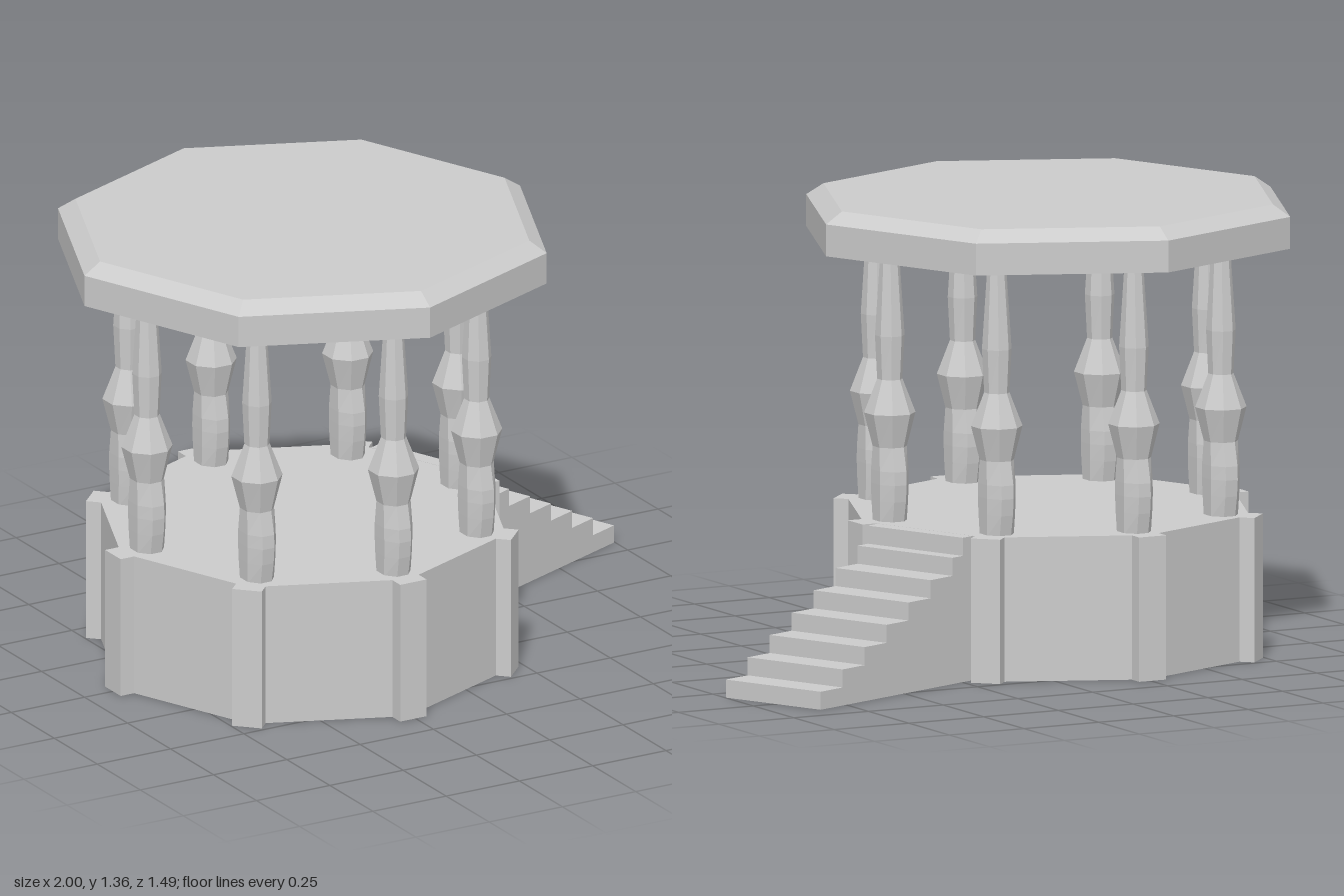
import * as THREE from 'three';

const CENTER_X = -0.257;   // axis of the pavilion
const FLOOR = 0.43;        // platform height
const EIGHTH = Math.PI / 4;

const solid = new THREE.MeshStandardMaterial({ color: 0xcccccc, flatShading: true });
const thin = new THREE.MeshStandardMaterial({ color: 0xcccccc, flatShading: true, side: THREE.DoubleSide });

function mesh(name, geometry, material = solid) {
  const m = new THREE.Mesh(geometry, material);
  m.name = name;
  return m;
}

// Band of quads between two rows of points
function band(rowA, rowB) {
  const pos = [];
  for (let i = 0; i < rowA.length - 1; i++) {
    for (const p of [rowA[i], rowA[i + 1], rowB[i + 1], rowA[i], rowB[i + 1], rowB[i]]) pos.push(...p);
  }
  const g = new THREE.BufferGeometry();
  g.setAttribute('position', new THREE.Float32BufferAttribute(pos, 3));
  g.computeVertexNormals();
  return g;
}

// Octagonal platform, open underneath, with a square pier at each corner
function createPlatform() {
  const group = new THREE.Group();
  group.name = 'platform';
  const outline = [];
  for (let i = 0; i < 8; i++) {
    for (const [r, t] of [[0.6, -0.045], [0.646, -0.045], [0.646, 0.045], [0.6, 0.045]]) {
      outline.push(new THREE.Vector2(r, t).rotateAround(new THREE.Vector2(), i * EIGHTH));
    }
  }
  const floor = new THREE.ShapeGeometry(new THREE.Shape(outline));
  floor.rotateX(-Math.PI / 2).translate(0, FLOOR, 0);
  const loop = [...outline, outline[0]];
  const walls = band(loop.map(p => [p.x, 0, -p.y]), loop.map(p => [p.x, FLOOR, -p.y]));
  group.add(mesh('floor', floor, thin), mesh('platformWalls', walls, thin));
  return group;
}

// Straight flight of seven steps and a narrow landing, open underneath
function createStairs() {
  const group = new THREE.Group();
  group.name = 'stairs';
  const half = 0.18, run = 0.1025, rise = FLOOR / 8, end = 1.283, wall = 0.573;
  const profile = [[end, 0]];
  for (let k = 0; k < 7; k++) {
    const y = (k + 1) * rise;
    const next = k < 6 ? end - (k + 1) * run : 0.62;
    profile.push([end - k * run, y], [next, y]);
  }
  profile.push([0.62, FLOOR], [wall, FLOOR]);
  const steps = band(profile.map(([x, y]) => [x, y, -half]), profile.map(([x, y]) => [x, y, half]));
  group.add(mesh('steps', steps, thin));

  const side = new THREE.Shape([...profile, [wall, 0]].map(([x, y]) => new THREE.Vector2(x, y)));
  for (const s of [-1, 1]) {
    const m = mesh(s > 0 ? 'stairSideFront' : 'stairSideBack', new THREE.ShapeGeometry(side), thin);
    m.position.z = s * half;
    group.add(m);
  }
  group.rotation.y = EIGHTH / 2;
  return group;
}

// Turned baluster column: rows of [height, half width in x, half width in z]
function createColumnGeometry() {
  const rows = [
    [FLOOR - 0.005, 0.045, 0.053], [0.49, 0.047, 0.064], [0.54, 0.048, 0.068], [0.58, 0.048, 0.066],
    [0.65, 0.046, 0.051], [0.75, 0.07, 0.072], [0.85, 0.034, 0.037],
    [0.98, 0.04, 0.043], [1.23, 0.026, 0.024], [1.28, 0.024, 0.022],
  ];
  const sides = 8;
  const g = new THREE.CylinderGeometry(1, 1, 1, sides, rows.length - 1, false, Math.PI / sides);
  const p = g.attributes.position;
  const grow = 1 / Math.cos(Math.PI / sides);
  for (let i = 0; i < p.count; i++) {
    const [y, wx, wz] = rows[Math.round((p.getY(i) + 0.5) * (rows.length - 1))];
    p.setXYZ(i, p.getX(i) * wx * grow, y, p.getZ(i) * wz * grow);
  }
  g.computeVertexNormals();
  return g;
}

// Octagonal roof slab with bevelled top edge and recessed ceiling
function createRoof() {
  const profile = [
    [0, 1.28], [0.69, 1.28], [0.69, 1.23], [0.743, 1.23], [0.743, 1.325], [0.69, 1.36], [0, 1.36],
  ].map(([r, y]) => new THREE.Vector2(r, y));
  return mesh('roof', new THREE.LatheGeometry(profile, 8));
}

export function createModel() {
  const model = new THREE.Group();
  model.name = 'pavilion';
  const body = new THREE.Group();
  body.name = 'pavilionBody';
  body.position.x = CENTER_X;
  body.add(createPlatform(), createStairs(), createRoof());

  // One column by each corner, all facing the same way
  const columnGeometry = createColumnGeometry();
  for (let i = 0; i < 8; i++) {
    const column = mesh('column' + (i + 1), columnGeometry);
    column.position.set(0.53 * Math.cos(i * EIGHTH), 0, 0.53 * Math.sin(i * EIGHTH));
    body.add(column);
  }
  model.add(body);
  return model;
}
